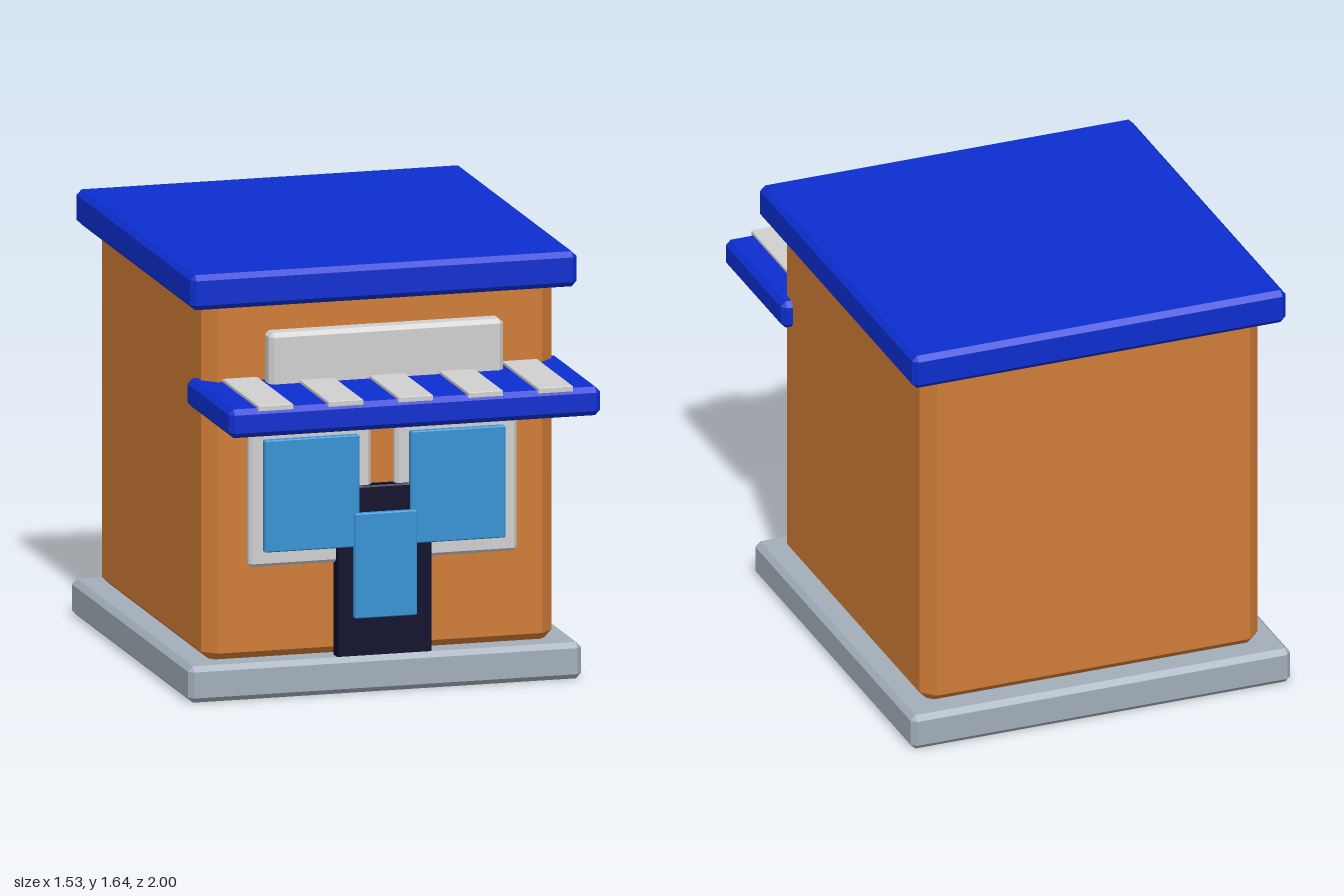
import * as THREE from 'three';
import { ConvexGeometry } from 'three/addons/geometries/ConvexGeometry.js';

const material = (name, color) => {
  const m = new THREE.MeshStandardMaterial({ color });
  m.name = name;
  return m;
};

// Box between two corners with every edge cut by a flat chamfer c
function chamferedBox([x0, x1], [y0, y1], [z0, z1], c) {
  const h = [(x1 - x0) / 2, (y1 - y0) / 2, (z1 - z0) / 2];
  const points = [];
  for (const sx of [-1, 1]) for (const sy of [-1, 1]) for (const sz of [-1, 1]) {
    for (let axis = 0; axis < 3; axis++) {
      const d = h.map((v, i) => (i === axis ? v : v - c));
      points.push(new THREE.Vector3(sx * d[0], sy * d[1], sz * d[2]));
    }
  }
  return new ConvexGeometry(points).translate((x0 + x1) / 2, (y0 + y1) / 2, (z0 + z1) / 2);
}

export function createModel() {
  const model = new THREE.Group();
  model.name = 'shop';

  const orange = material('orange wall', 0xd07c36);
  const blue = material('blue trim', 0x0c2ed0);
  const stone = material('grey stone', 0xa2aeba);
  const pale = material('pale grey', 0xd0d0d0);
  const glass = material('blue glass', 0x3792d4);
  const dark = material('dark door', 0x0a0a2a);

  const add = (name, mat, x, y, z, c) => {
    const mesh = new THREE.Mesh(chamferedBox(x, y, z, c), mat);
    mesh.name = name;
    model.add(mesh);
  };

  // Building shell
  add('base', stone, [-0.767, 0.767], [0, 0.14], [-1, 0.597], 0.02);
  add('walls', orange, [-0.683, 0.683], [0.118, 1.545], [-0.912, 0.517], 0.05);
  add('roof', blue, [-0.754, 0.754], [1.503, 1.638], [-0.983, 0.582], 0.02);

  // Awning with five raised stripes
  add('awning', blue, [-0.725, 0.725], [1.1, 1.21], [0.405, 0.998], 0.02);
  for (let i = -2; i <= 2; i++) {
    const x = i * 0.273;
    add('awningStripe', pale, [x - 0.068, x + 0.068], [1.2, 1.222], [0.42, 1], 0.002);
  }

  // Blank sign board above the awning
  add('signBoard', pale, [-0.457, 0.457], [1.12, 1.405], [0.527, 0.612], 0.016);

  // Windows, mirrored about the door
  for (const s of [-1, 1]) {
    const span = (a, b) => (s > 0 ? [a, b] : [-b, -a]);
    add('windowFrame', pale, span(0.047, 0.523), [0.5, 1.045], [0.517, 0.563], 0.013);
    add('windowPane', glass, span(0.1, 0.47), [0.56, 0.99], [0.555, 0.588], 0.004);
  }

  // Door and its pane
  add('door', dark, [-0.185, 0.185], [0.12, 0.79], [0.525, 0.577], 0.006);
  add('doorPane', glass, [-0.122, 0.122], [0.287, 0.69], [0.572, 0.6], 0.004);

  return model;
}
